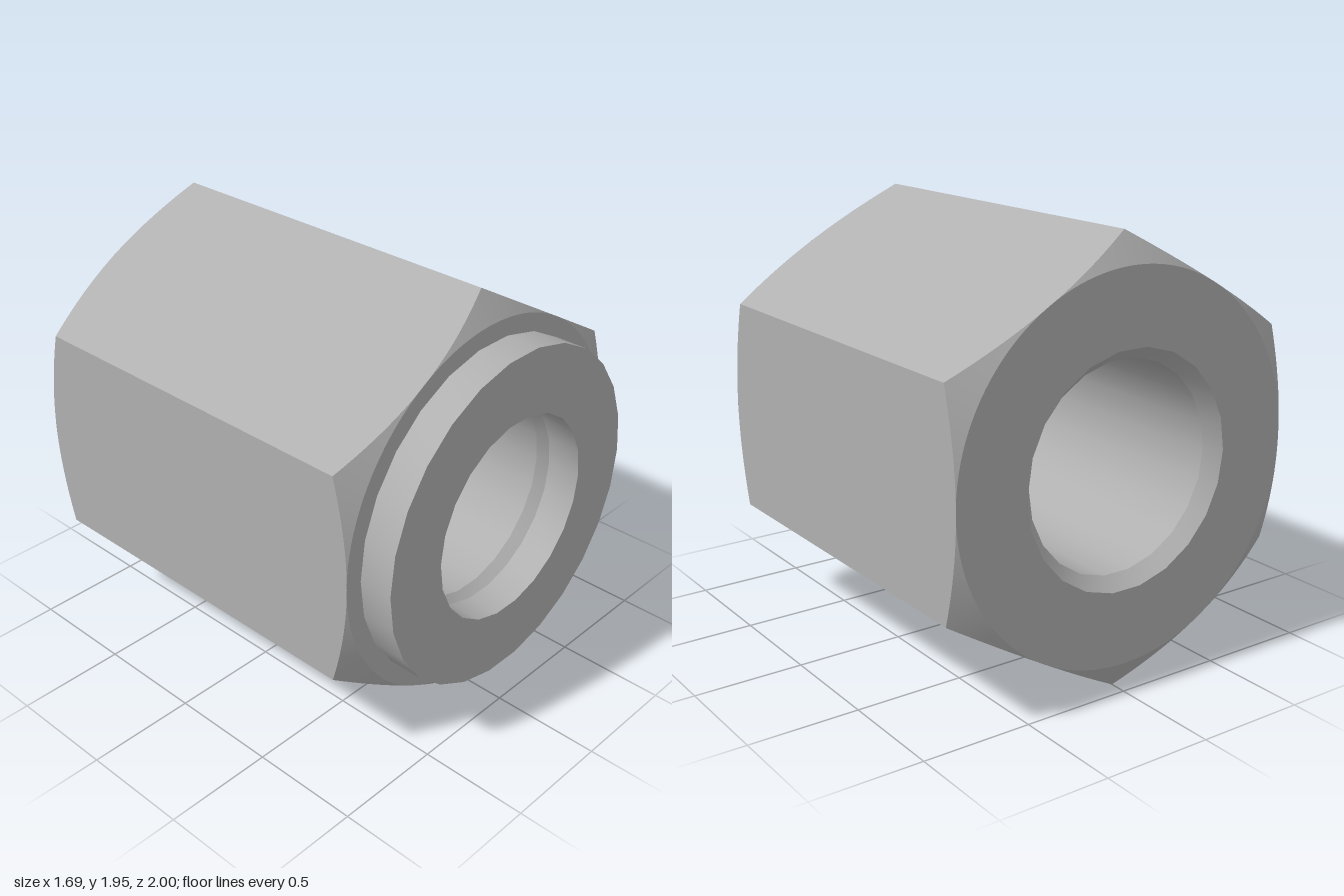
import * as THREE from 'three';

const CENTER_Y = 0.975;
const APOTHEM = 0.845;
const HEX_R = 0.975;
const BACK = -1, SHOULDER = 0.845, FRONT = 1;

// Radius at angle t of a regular polygon with its first corner at angle `turn`
function polyRadius(r, sides, t, turn = 0) {
  const step = (2 * Math.PI) / sides;
  const local = (((t - turn) % step) + step) % step;
  return (r * Math.cos(step / 2)) / Math.cos(local - step / 2);
}

// A ring returns [radius, z] for an angle
const ring = (r, sides, z) => (t) => [polyRadius(r, sides, t), z];
const circle = (r, z) => () => [r, z];

// Hexagon outline, cut back toward the corners by a 30 degree cone
const hexRing = (z, dir) => (t) => {
  const r = polyRadius(HEX_R, 6, t, Math.PI / 6);
  return [r, z - dir * (r - APOTHEM) * Math.tan(Math.PI / 6)];
};

// Closed band of quads between two rings
function band(from, to, n, flat = false) {
  const pos = [], index = [];
  for (let i = 0; i < n; i++) {
    const t = (i / n) * 2 * Math.PI;
    for (const f of [from, to]) {
      const [r, z] = f(t);
      pos.push(r * Math.cos(t), r * Math.sin(t), z);
    }
    const a = 2 * i, b = 2 * ((i + 1) % n);
    index.push(a, b, b + 1, a, b + 1, a + 1);
  }
  let geo = new THREE.BufferGeometry();
  geo.setAttribute('position', new THREE.Float32BufferAttribute(pos, 3));
  geo.setIndex(index);
  if (flat) geo = geo.toNonIndexed();
  geo.computeVertexNormals();
  return geo;
}

export function createModel() {
  const model = new THREE.Group();
  model.name = 'hexStandoff';
  const steel = new THREE.MeshStandardMaterial({ color: 0xb0b0b0 });
  steel.name = 'grey steel';

  const add = (parent, name, ...args) => {
    const mesh = new THREE.Mesh(band(...args), steel);
    mesh.name = name;
    parent.add(mesh);
  };

  // Hexagonal body: outside, front end, bore, back end
  const body = new THREE.Group();
  body.name = 'hexBody';
  const N = 132, B = 22;
  const mouth = 0.515, bore = 0.46, sink = 0.065;
  add(body, 'hexSides', hexRing(BACK, -1), hexRing(SHOULDER, 1), N, true);
  add(body, 'frontCornerChamfer', hexRing(SHOULDER, 1), circle(APOTHEM, SHOULDER), N);
  add(body, 'frontFace', circle(APOTHEM, SHOULDER), ring(mouth, B, SHOULDER), N);
  add(body, 'frontCountersink', ring(mouth, B, SHOULDER), ring(bore, B, SHOULDER - sink), B);
  add(body, 'bore', ring(bore, B, SHOULDER - sink), ring(bore, B, BACK + sink), B);
  add(body, 'backCountersink', ring(bore, B, BACK + sink), ring(mouth, B, BACK), B);
  add(body, 'backFace', ring(mouth, B, BACK), circle(APOTHEM, BACK), N);
  add(body, 'backCornerChamfer', circle(APOTHEM, BACK), hexRing(BACK, -1), N);

  // Round collar on the front
  const collar = new THREE.Group();
  collar.name = 'frontCollar';
  const C = 26, M = 286;
  const outer = 0.765, inner = 0.465;
  add(collar, 'collarSide', ring(outer, C, SHOULDER), ring(outer, C, FRONT), C);
  add(collar, 'collarFace', ring(outer, C, FRONT), ring(inner, B, FRONT), M);
  add(collar, 'collarBore', ring(inner, B, FRONT), ring(inner, B, SHOULDER), B);
  add(collar, 'collarBack', ring(inner, B, SHOULDER), ring(mouth, B, SHOULDER), B);

  model.add(body, collar);
  body.position.y = collar.position.y = CENTER_Y;
  return model;
}
